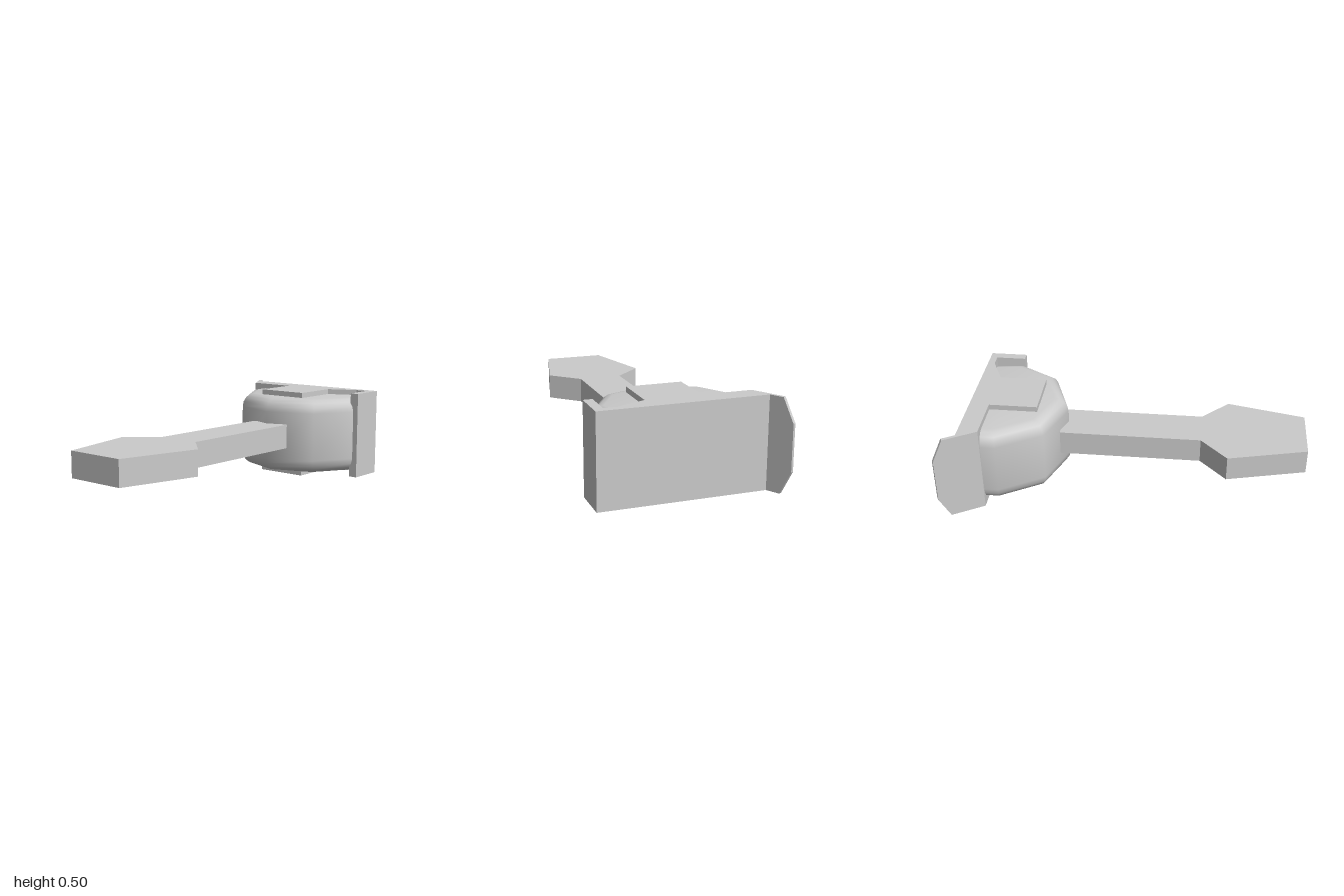
import * as THREE from 'three';
import { toCreasedNormals } from 'three/addons/utils/BufferGeometryUtils.js';

const material = new THREE.MeshStandardMaterial({ color: 0xcccccc, side: THREE.DoubleSide });

function part(name, geometry) {
  const mesh = new THREE.Mesh(geometry, material);
  mesh.name = name;
  return mesh;
}

// Raises a plan outline of [x, z] points from y0 to y1.
function slab(name, outline, y0, y1) {
  const shape = new THREE.Shape(outline.map(([x, z]) => new THREE.Vector2(x, -z)));
  const geometry = new THREE.ExtrudeGeometry(shape, { depth: y1 - y0, bevelEnabled: false });
  geometry.rotateX(-Math.PI / 2).translate(0, y0, 0);
  return part(name, geometry);
}

// Closed body: the plan outline repeated at several heights, drawn in at top and bottom.
function roundedBody(outline, cx, cz, y0, y1, radius) {
  const steps = 4, inset = 0.17, n = outline.length;
  const levels = [];
  for (let i = 0; i <= steps; i++) {
    const a = (i / steps) * Math.PI / 2;
    levels.push([y0 + radius * (1 - Math.cos(a)), 1 - inset * (1 - Math.sin(a))]);
  }
  for (let i = steps; i >= 0; i--) levels.push([y0 + y1 - levels[i][0], levels[i][1]]);

  const positions = [], index = [];
  for (const [y, s] of levels) {
    for (const [x, z] of outline) positions.push(cx + (x - cx) * s, y, cz + (z - cz) * s);
  }
  const bottom = positions.length / 3, top = bottom + 1, last = (levels.length - 1) * n;
  positions.push(cx, y0, cz + 0.1, cx, y1, cz + 0.1);
  for (let i = 0; i < n; i++) {
    const j = (i + 1) % n;
    for (let k = 0; k < last; k += n) {
      index.push(k + i, k + j, k + n + j, k + i, k + n + j, k + n + i);
    }
    index.push(bottom, j, i, top, last + i, last + j);
  }
  const geometry = new THREE.BufferGeometry();
  geometry.setAttribute('position', new THREE.Float32BufferAttribute(positions, 3));
  geometry.setIndex(index);
  return part('body', toCreasedNormals(geometry, 0.8));
}

export function createModel() {
  const group = new THREE.Group();

  // Straight arm with a widened paddle at its front end
  group.add(slab('arm', [
    [-0.06, -0.385], [-0.06, 0.41], [-0.22, 0.56], [-0.11, 1],
    [0.235, 1], [0.34, 0.56], [0.185, 0.41], [0.185, -0.385],
  ], 0.18, 0.32));

  // Soft-edged faceted body
  group.add(roundedBody([
    [-0.35, -0.78], [-0.35, -0.69], [-0.205, -0.45], [0.06, -0.35],
    [0.33, -0.45], [0.46, -0.67], [0.44, -0.835], [0.37, -0.835],
  ], 0.055, -0.8, 0.03, 0.47, 0.08));

  // Back bracket with central tab and side plate
  group.add(slab('bracket', [
    [-0.41, -0.88], [-0.36, -0.77], [-0.09, -0.77], [-0.09, -0.5],
    [0.21, -0.5], [0.21, -0.77], [0.37, -0.84], [0.44, -0.84],
    [0.44, -0.67], [0.49, -0.67], [0.49, -0.88],
  ], 0, 0.5));

  // Thin slanted flange with clipped corners
  const flange = new THREE.Shape([
    [0, 0], [0.195, 0], [0.256, 0.125], [0.256, 0.375], [0.195, 0.5], [0, 0.5],
  ].map(([u, y]) => new THREE.Vector2(u, y)));
  const flangeGeometry = new THREE.ExtrudeGeometry(flange, { depth: 0.018, bevelEnabled: false });
  flangeGeometry.rotateY(Math.PI * 0.67).translate(-0.36, 0, -0.77);
  group.add(part('flange', flangeGeometry));

  return group;
}
